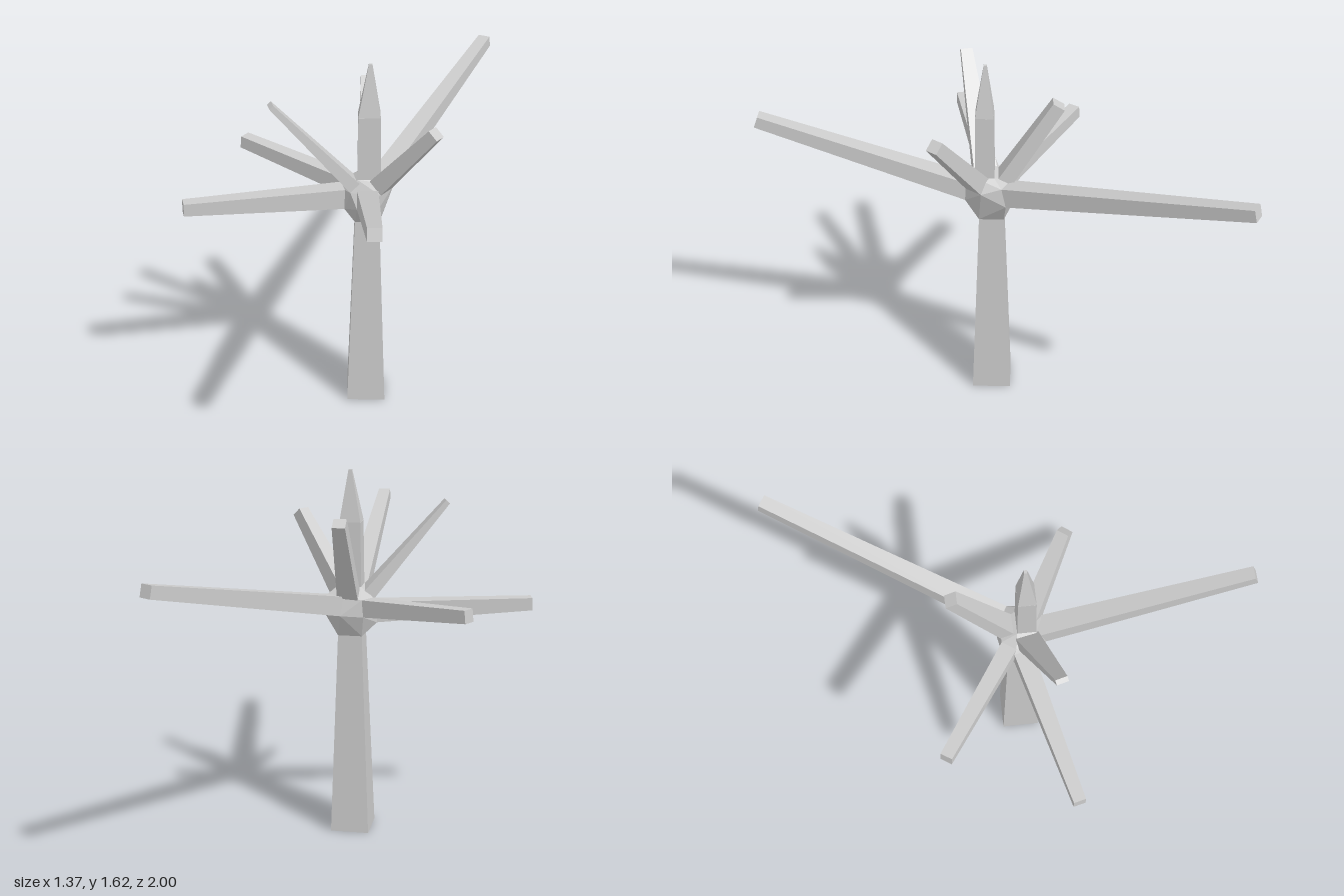
import * as THREE from 'three';
import { ConvexGeometry } from 'three/addons/geometries/ConvexGeometry.js';

const material = new THREE.MeshStandardMaterial({ color: 0xcccccc, flatShading: true });

// Four-sided tapered limb; sizes are [width, height] of the sections at both ends
function limbGeometry(from, to, size0, size1) {
  const a = new THREE.Vector3(...from), b = new THREE.Vector3(...to);
  const dir = b.clone().sub(a).normalize();
  const hint = Math.abs(dir.y) > 0.98 ? new THREE.Vector3(0, 0, -1) : new THREE.Vector3(0, 1, 0);
  const side = hint.cross(dir).normalize();
  const up = dir.clone().cross(side);
  const geo = new THREE.BoxGeometry(1, 1, 1);
  const pos = geo.attributes.position;
  for (let i = 0; i < pos.count; i++) {
    const atEnd = pos.getZ(i) > 0;
    const [w, h] = atEnd ? size1 : size0;
    const p = (atEnd ? b : a).clone()
      .addScaledVector(side, pos.getX(i) * w)
      .addScaledVector(up, pos.getY(i) * h);
    pos.setXYZ(i, p.x, p.y, p.z);
  }
  geo.computeVertexNormals();
  return geo;
}

// Corners of one end of a limb
function endCorners(geo, face) {
  const points = [];
  for (let i = face * 4; i < face * 4 + 4; i++) {
    points.push(new THREE.Vector3().fromBufferAttribute(geo.attributes.position, i));
  }
  return points;
}

export function createModel() {
  const group = new THREE.Group();
  const add = (name, geo) => {
    const mesh = new THREE.Mesh(geo, material);
    mesh.name = name;
    group.add(mesh);
    return geo;
  };
  const END = 4, START = 5; // box faces +z and -z

  // Trunk
  const trunk = add('trunk', limbGeometry([0.085, 0, 0.035], [0.085, 0.91, 0.033], [0.17, 0.17], [0.105, 0.105]));
  const hubPoints = endCorners(trunk, END);

  // Branches: name, base, tip, base section, tip section
  const branches = [
    ['frontBranch', [0.085, 1.04, 0.13], [0.098, 1.362, 0.992], [0.09, 0.08], [0.055, 0.05]],
    ['backLeftBranch', [0.15, 1.05, -0.04], [0.658, 1.318, -0.982], [0.085, 0.085], [0.055, 0.052]],
    ['rightBranch', [-0.02, 1.015, 0.04], [-0.682, 1.037, 0.195], [0.08, 0.09], [0.052, 0.055]],
    ['backRightBranch', [0.005, 1.04, -0.02], [-0.46, 1.102, -0.323], [0.07, 0.075], [0.052, 0.055]],
    ['backUpperBranch', [0.09, 1.09, -0.02], [0.085, 1.445, -0.24], [0.09, 0.065], [0.055, 0.055]],
    ['leftUpperBranch', [0.14, 1.09, 0.09], [0.355, 1.4, 0.247], [0.08, 0.075], [0.052, 0.052]],
    ['rightUpperBranch', [0.02, 1.085, 0.065], [-0.31, 1.482, 0.153], [0.1, 0.055], [0.05, 0.022]],
    ['topStem', [0.092, 1.12, 0.06], [0.091, 1.4, 0.06], [0.1, 0.08], [0.092, 0.075]],
  ];
  for (const [name, from, to, s0, s1] of branches) {
    hubPoints.push(...endCorners(add(name, limbGeometry(from, to, s0, s1)), START));
  }

  // Pointed tip of the top stem
  add('topPoint', limbGeometry([0.091, 1.4, 0.06], [0.094, 1.622, 0.056], [0.092, 0.075], [0.014, 0.012]));

  // Faceted knot joining the trunk and all branches
  add('knot', new ConvexGeometry(hubPoints));
  return group;
}
